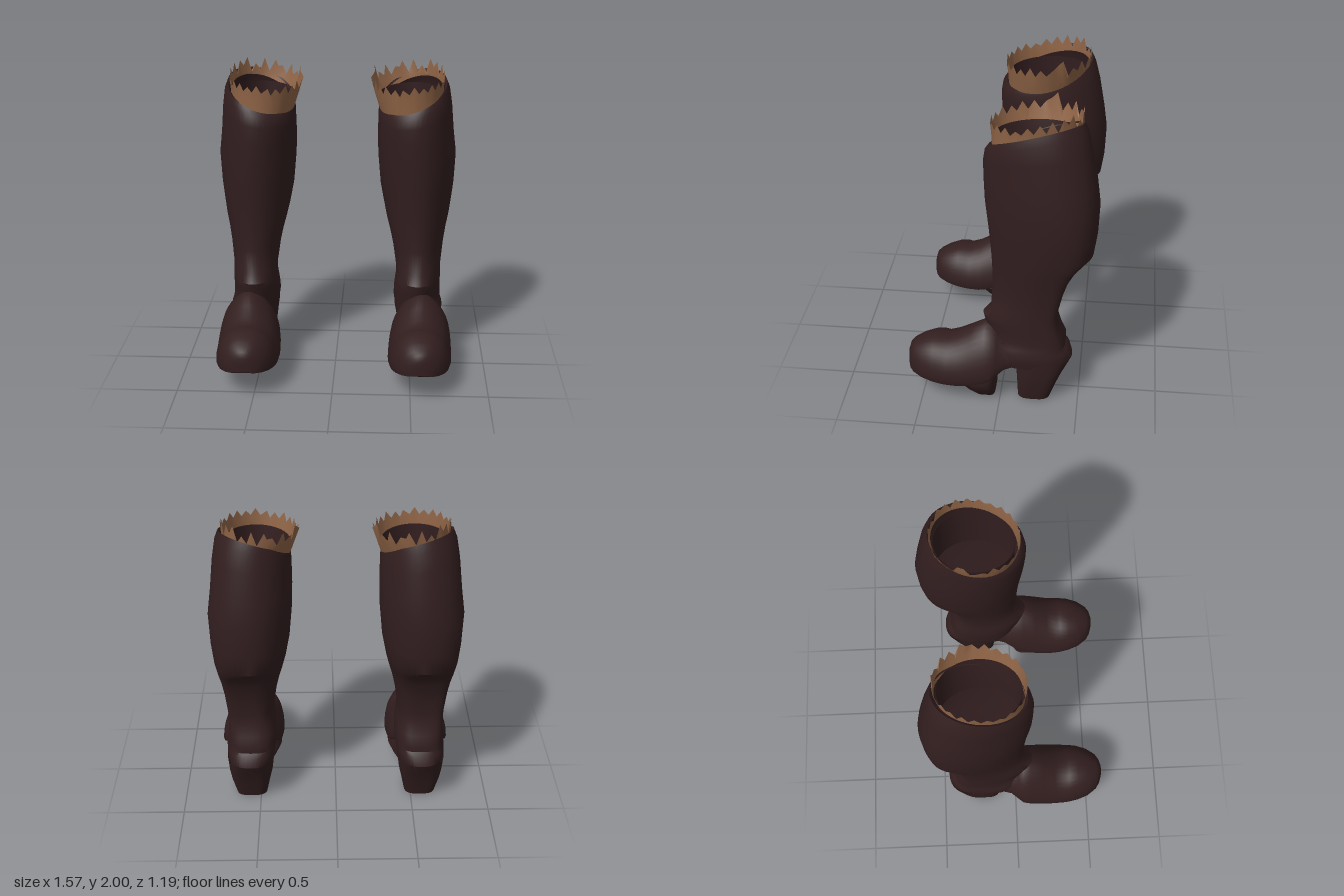
import * as THREE from 'three';
import { toCreasedNormals } from 'three/addons/utils/BufferGeometryUtils.js';

const leather = new THREE.MeshStandardMaterial({ color: 0x321e1f, side: THREE.DoubleSide });
leather.name = 'dark leather';
const fur = new THREE.MeshStandardMaterial({ color: 0x8f6446, side: THREE.DoubleSide });
fur.name = 'tan fur';

const SEG = 48;
const spow = (v, p) => Math.sign(v) * Math.pow(Math.abs(v), p);
// slope of the boot opening: low at the front and inside, high at the back and outside
const tilt = a => 0.012 + 0.067 * Math.cos(a) - 0.08 * Math.sin(a);

// horizontal ring between inner/outer x and back/front z; p and pb square off front and back
function ring({ y, x: [x0, x1], z: [z0, z1], p = 1, pb = p, t = 0, skew = 0 }) {
  const pts = [];
  for (let j = 0; j < SEG; j++) {
    const a = (j / SEG) * Math.PI * 2, c = Math.cos(a), s = Math.sin(a);
    const q = s < 0 ? pb : p;
    pts.push([
      (x0 + x1) / 2 + ((x1 - x0) / 2) * spow(c, q),
      y + t * tilt(a),
      (z0 + z1) / 2 + ((z1 - z0) / 2) * spow(s, q) - skew * Math.max(0, c) ** 2,
    ]);
  }
  return pts;
}

// skin closed rings into a surface; side -1 mirrors it
function loft(rings, side, { capStart = false, capEnd = false, crease = 0.7 } = {}) {
  const n = rings[0].length, pos = [], idx = [];
  const tri = (a, b, c) => (side > 0 ? idx.push(a, b, c) : idx.push(a, c, b));
  rings.forEach(r => r.forEach(([x, y, z]) => pos.push(x * side, y, z)));
  for (let i = 0; i < rings.length - 1; i++) {
    for (let j = 0; j < n; j++) {
      const a = i * n + j, b = i * n + ((j + 1) % n);
      tri(a, a + n, b);
      tri(b, a + n, b + n);
    }
  }
  const cap = (k, flip) => {
    const m = [0, 1, 2].map(d => rings[k].reduce((s, q) => s + q[d], 0) / n);
    const c = pos.length / 3;
    pos.push(m[0] * side, m[1], m[2]);
    for (let j = 0; j < n; j++) {
      const a = k * n + j, b = k * n + ((j + 1) % n);
      flip ? tri(c, b, a) : tri(c, a, b);
    }
  };
  if (capStart) cap(0, false);
  if (capEnd) cap(rings.length - 1, true);
  const g = new THREE.BufferGeometry();
  g.setAttribute('position', new THREE.Float32BufferAttribute(pos, 3));
  g.setIndex(idx);
  return toCreasedNormals(g, crease);
}

// shaft from the heel up to the slanted rim, turned slightly inward
const shaftRings = [
  { y: 0.26, x: [0.415, 0.705], z: [-0.43, 0.02], p: 0.8 },
  { y: 0.31, x: [0.405, 0.715], z: [-0.455, 0.04], p: 0.8 },
  { y: 0.37, x: [0.395, 0.715], z: [-0.435, 0.05], p: 0.85, pb: 0.75 },
  { y: 0.395, x: [0.395, 0.705], z: [-0.41, 0.06], p: 0.9, pb: 0.7, skew: 0.02 },
  { y: 0.44, x: [0.388, 0.70], z: [-0.412, 0.07], pb: 0.7, skew: 0.04 },
  { y: 0.50, x: [0.39, 0.70], z: [-0.385, 0.09], pb: 0.7, skew: 0.06 },
  { y: 0.55, x: [0.395, 0.70], z: [-0.37, 0.105], pb: 0.7, skew: 0.07 },
  { y: 0.59, x: [0.40, 0.70], z: [-0.36, 0.115], pb: 0.7, skew: 0.08 },
  { y: 0.65, x: [0.402, 0.70], z: [-0.355, 0.065], pb: 0.7, skew: 0.08 },
  { y: 0.80, x: [0.38, 0.715], z: [-0.39, 0.055], pb: 0.7, skew: 0.08 },
  { y: 0.90, x: [0.358, 0.73], z: [-0.42, 0.056], pb: 0.7, skew: 0.085 },
  { y: 0.985, x: [0.335, 0.748], z: [-0.47, 0.06], pb: 0.74, skew: 0.085 },
  { y: 1.07, x: [0.315, 0.763], z: [-0.568, 0.066], pb: 0.95, skew: 0.08 },
  { y: 1.20, x: [0.29, 0.778], z: [-0.587, 0.078], skew: 0.08 },
  { y: 1.40, x: [0.272, 0.787], z: [-0.595, 0.10], skew: 0.08 },
  { y: 1.55, x: [0.268, 0.768], z: [-0.575, 0.108], skew: 0.07 },
  { y: 1.69, x: [0.27, 0.75], z: [-0.54, 0.11], t: 0.6, skew: 0.05 },
  { y: 1.775, x: [0.272, 0.732], z: [-0.512, 0.10], t: 0.9, skew: 0.02 },
  { y: 1.815, x: [0.28, 0.712], z: [-0.49, 0.075], t: 1 },
  { y: 1.805, x: [0.29, 0.70], z: [-0.482, 0.06], t: 1 },
];

// lining standing just inside the fur
const liningRings = [
  { y: 1.40, x: [0.31, 0.69], z: [-0.465, 0.035] },
  { y: 1.70, x: [0.30, 0.678], z: [-0.458, 0.04] },
  { y: 1.82, x: [0.275, 0.675], z: [-0.458, 0.045], t: 0.15 },
];

// foot sections from toe to instep: z, bottom, top, centre x, half width, roundness
const footSections = [
  [0.597, 0.185, 0.28, 0.56, 0.04, 0.85], [0.585, 0.175, 0.32, 0.56, 0.08, 0.85],
  [0.56, 0.17, 0.342, 0.56, 0.12, 0.85], [0.50, 0.16, 0.373, 0.56, 0.164, 0.85],
  [0.43, 0.15, 0.397, 0.56, 0.189, 0.85], [0.37, 0.143, 0.402, 0.56, 0.2, 0.9],
  [0.34, 0.141, 0.395, 0.56, 0.203, 0.95], [0.27, 0.138, 0.425, 0.56, 0.206, 1.05],
  [0.19, 0.15, 0.475, 0.563, 0.207, 1.15], [0.10, 0.17, 0.53, 0.566, 0.203, 1.25],
  [0.05, 0.195, 0.53, 0.568, 0.197, 1.3], [0.02, 0.22, 0.50, 0.566, 0.18, 1.25],
  [-0.03, 0.25, 0.45, 0.56, 0.15, 1], [-0.10, 0.27, 0.42, 0.56, 0.135, 1],
  [-0.2, 0.27, 0.36, 0.56, 0.13, 1],
];
function footRing([z, yb, yt, cx, hw, p]) {
  const pts = [], n = 20;
  for (let j = 0; j <= n; j++) {
    const a = (j / n) * Math.PI;
    pts.push([cx + hw * spow(Math.cos(a), p), yb + 0.025 + (yt - yb - 0.025) * Math.sin(a), z]);
  }
  for (let j = 0; j <= 6; j++) pts.push([cx + hw * 0.96 * (j / 3 - 1), yb, z]);
  return pts;
}

// ragged fur collar: small teeth in front, uneven taller tufts at the back
function furRings() {
  let seed = 11;
  const rand = () => (seed = (seed * 16807) % 2147483647) / 2147483647;
  const low = ring({ y: 1.77, x: [0.283, 0.69], z: [-0.47, 0.058], t: 1 });
  const mid = ring({ y: 1.84, x: [0.25, 0.692], z: [-0.474, 0.064], t: 0.5 });
  const top = ring({ y: 1.885, x: [0.235, 0.697], z: [-0.48, 0.072], t: 0.3 });
  top.forEach((q, j) => {
    const back = 0.5 - 0.5 * Math.sin((j / SEG) * Math.PI * 2);
    q[1] += j % 2 ? 0.015 + rand() * (0.04 + 0.03 * back) : -0.015 * rand();
    if (j % 2 && q[0] < 0.46) q[0] -= 0.02 * rand();
  });
  // a few large tufts
  [[41, 2.0], [42, 1.95], [35, 1.975], [34, 1.935], [27, 1.975], [26, 1.94]].forEach(([j, y]) => { top[j][1] = y; });
  return [low, mid, top];
}

function createBoot(side) {
  const boot = new THREE.Group();
  boot.name = side > 0 ? 'leftBoot' : 'rightBoot';
  const add = (name, geometry, material = leather) => {
    const m = new THREE.Mesh(geometry, material);
    m.name = name;
    boot.add(m);
    return m;
  };
  add('shaft', loft(shaftRings.map(ring), side, { capStart: true }));
  add('lining', loft(liningRings.map(ring), side));
  add('furCollar', loft(furRings(), side, { crease: 0.5 }), fur);
  add('foot', loft(footSections.map(footRing), side, { capStart: true, capEnd: true }));

  // tapered heel and the block under the ball of the foot
  add('heel', loft([
    { y: 0, x: [0.46, 0.665], z: [-0.32, -0.11], p: 0.6 },
    { y: 0.13, x: [0.435, 0.695], z: [-0.365, -0.105], p: 0.6 },
    { y: 0.2, x: [0.42, 0.705], z: [-0.395, -0.10], p: 0.65 },
    { y: 0.31, x: [0.407, 0.713], z: [-0.453, -0.09], p: 0.8 },
  ].map(ring), side, { capStart: true }));
  add('soleBlock', loft([
    { y: 0.01, x: [0.45, 0.665], z: [0.035, 0.155], p: 0.4 },
    { y: 0.08, x: [0.405, 0.72], z: [0.03, 0.21], p: 0.4 },
    { y: 0.145, x: [0.37, 0.75], z: [0.025, 0.27], p: 0.5 },
    { y: 0.22, x: [0.40, 0.73], z: [0.015, 0.27], p: 0.5 },
  ].map(ring), side, { capStart: true, capEnd: true }));

  // insole visible down the opening
  const insole = add('insole', new THREE.BoxGeometry(0.22, 0.02, 0.34));
  insole.position.set(0.55 * side, 0.42, -0.17);
  return boot;
}

export function createModel() {
  const model = new THREE.Group();
  model.name = 'boots';
  model.add(createBoot(1), createBoot(-1));
  return model;
}
